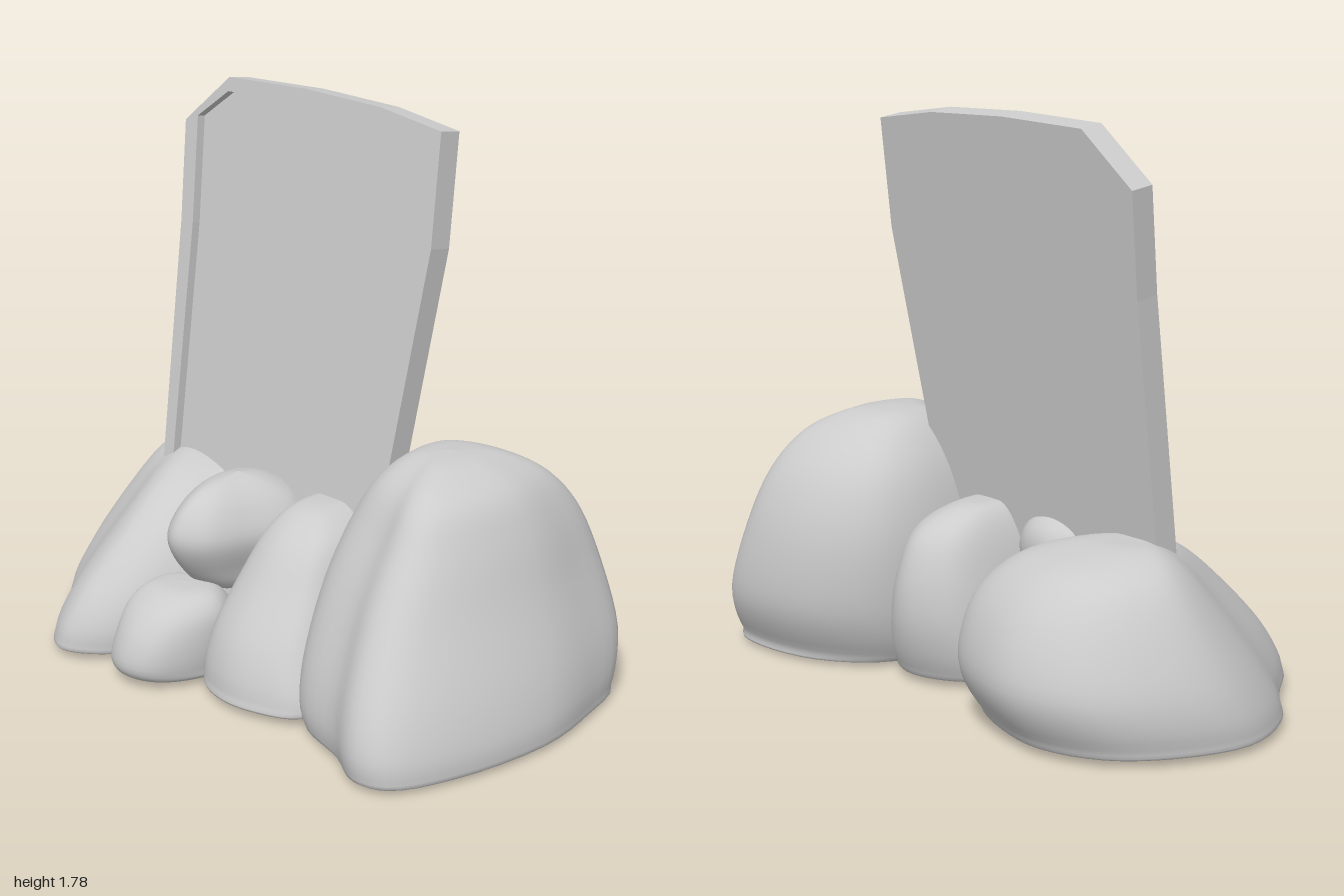
import * as THREE from 'three';

const material = new THREE.MeshStandardMaterial({ color: 0xcccccc, roughness: 0.9 });

// Smooth boulder: a footprint [x, z] (front, right, back, left) is fitted into
// the bounds of each level [y, xMin, xMax, zMin, zMax], from underside to crown.
function rock(name, footprint, levels, around = 56, steps = 5) {
  const loop = new THREE.CatmullRomCurve3(
    footprint.map(([x, z]) => new THREE.Vector3(x, 0, z)), true, 'centripetal');
  const ring = [];
  for (let i = 0; i < around; i++) ring.push(loop.getPoint(i / around));
  const box = new THREE.Box3().setFromPoints(ring);
  const size = box.getSize(new THREE.Vector3());

  const spline = (f) => new THREE.CatmullRomCurve3(levels.map(f), false, 'catmullrom', 0.5);
  const low = spline(([y, l, , b]) => new THREE.Vector3(l, y, b));
  const high = spline(([y, , r, , f]) => new THREE.Vector3(r, y, f));

  const rows = (levels.length - 1) * steps;
  const positions = [], index = [];
  for (let j = 0; j <= rows; j++) {
    const a = low.getPoint(j / rows), b = high.getPoint(j / rows);
    for (const p of ring) {
      positions.push(
        THREE.MathUtils.lerp(a.x, b.x, (p.x - box.min.x) / size.x),
        Math.max(a.y, levels[0][0]),
        THREE.MathUtils.lerp(a.z, b.z, (p.z - box.min.z) / size.z));
    }
  }
  for (let j = 0; j < rows; j++) {
    for (let i = 0; i < around; i++) {
      const p = j * around + i, q = j * around + (i + 1) % around;
      index.push(p, q, p + around, q, q + around, p + around);
    }
  }
  const geometry = new THREE.BufferGeometry();
  geometry.setAttribute('position', new THREE.Float32BufferAttribute(positions, 3));
  geometry.setIndex(index);
  geometry.computeVertexNormals();
  const mesh = new THREE.Mesh(geometry, material);
  mesh.name = name;
  return mesh;
}

// Leaning slab with a raised rim along its sides and top
function board() {
  const pivotY = 0.53, lean = 0.136;
  const toLocal = ([x, y]) => new THREE.Vector2(x, (y - pivotY) / Math.cos(lean));
  const outer = [[-0.635, 0.4], [-0.64, 0.53], [-0.655, 1.3], [-0.675, 1.62], [-0.49, 1.78],
    [-0.15, 1.79], [0.17, 1.78], [0.42, 1.745], [0.43, 1.4], [0.36, 0.75], [0.325, 0.4]].map(toLocal);
  const inner = [[-0.595, 0.4], [-0.595, 0.53], [-0.6, 1.3], [-0.62, 1.64], [-0.49, 1.735],
    [-0.15, 1.75], [0.17, 1.74], [0.39, 1.715], [0.395, 1.4], [0.325, 0.75], [0.29, 0.4]].map(toLocal);

  const group = new THREE.Group();
  group.name = 'board';
  const add = (name, points, z, depth) => {
    const geometry = new THREE.ExtrudeGeometry(new THREE.Shape(points), { depth, bevelEnabled: false });
    const mesh = new THREE.Mesh(geometry, material);
    mesh.name = name;
    mesh.position.z = z;
    group.add(mesh);
  };
  add('panel', outer, -0.08, 0.05);
  add('rim', [...outer, ...inner.reverse()], -0.03, 0.03);
  group.position.set(0, pivotY, 0.017);
  group.rotation.x = -lean;
  return group;
}

export function createModel() {
  const model = new THREE.Group();
  model.name = 'boardInRocks';
  model.add(board());

  model.add(rock('rightRock',
    [[-0.5, 0.57], [-0.38, 0.5], [-0.28, 0.33], [-0.15, 0], [-0.13, -0.3], [-0.22, -0.46], [-0.4, -0.55],
      [-0.6, -0.58], [-0.8, -0.5], [-0.93, -0.33], [-1, -0.08], [-0.92, 0.15], [-0.75, 0.33], [-0.6, 0.52]],
    [[0.02, -0.56, -0.56, -0.05, -0.05], [0.02, -0.95, -0.2, -0.45, 0.5], [0.06, -1, -0.14, -0.52, 0.57],
      [0.2, -0.97, -0.12, -0.58, 0.5], [0.38, -0.88, -0.16, -0.52, 0.32], [0.5, -0.79, -0.27, -0.4, 0.15],
      [0.555, -0.68, -0.42, -0.22, 0], [0.56, -0.55, -0.55, -0.1, -0.1]]));

  model.add(rock('leftRock',
    [[0.75, 0.55], [0.86, 0.52], [0.95, 0.33], [1, -0.05], [0.95, -0.32], [0.87, -0.53], [0.7, -0.57],
      [0.45, -0.52], [0.28, -0.38], [0.22, -0.18], [0.24, 0.1], [0.3, 0.3], [0.4, 0.4], [0.6, 0.47]],
    [[0.005, 0.62, 0.62, -0.03, -0.03], [0.01, 0.32, 0.95, -0.46, 0.48], [0.05, 0.25, 1, -0.51, 0.56],
      [0.2, 0.22, 0.97, -0.57, 0.53], [0.42, 0.22, 0.885, -0.55, 0.4], [0.6, 0.26, 0.82, -0.48, 0.27],
      [0.72, 0.33, 0.75, -0.37, 0.17], [0.785, 0.41, 0.63, -0.24, 0.03], [0.8, 0.52, 0.52, -0.1, -0.1]]));

  model.add(rock('middleRock',
    [[0.1, 0.46], [0.25, 0.45], [0.38, 0.38], [0.42, 0.1], [0.36, -0.25], [0.22, -0.39], [0.1, -0.4],
      [-0.05, -0.3], [-0.1, 0], [-0.05, 0.38]],
    [[0.02, 0.15, 0.15, 0.02, 0.02], [0.02, -0.06, 0.38, -0.3, 0.42], [0.06, -0.1, 0.42, -0.36, 0.46],
      [0.2, -0.09, 0.37, -0.4, 0.42], [0.35, -0.06, 0.32, -0.39, 0.32], [0.48, -0.02, 0.27, -0.33, 0.22],
      [0.55, 0.03, 0.18, -0.2, 0.1], [0.56, 0.1, 0.1, -0.05, -0.05]]));

  model.add(rock('smallFrontRock',
    [[-0.22, 0.58], [-0.12, 0.55], [-0.05, 0.43], [-0.04, 0.3], [-0.12, 0.18], [-0.25, 0.17],
      [-0.34, 0.28], [-0.35, 0.42], [-0.32, 0.53]],
    [[0.015, -0.2, -0.2, 0.35, 0.35], [0.02, -0.33, -0.06, 0.2, 0.52], [0.06, -0.35, -0.04, 0.17, 0.58],
      [0.15, -0.345, -0.03, 0.16, 0.56], [0.23, -0.34, -0.04, 0.2, 0.5], [0.28, -0.3, -0.09, 0.25, 0.42],
      [0.29, -0.2, -0.2, 0.33, 0.33]]));

  model.add(rock('upperRock',
    [[-0.2, 0.38], [-0.1, 0.33], [-0.04, 0.18], [0, 0], [-0.08, -0.1], [-0.22, -0.12],
      [-0.34, -0.05], [-0.375, 0.12], [-0.31, 0.28]],
    [[0.23, -0.19, -0.19, 0.1, 0.1], [0.25, -0.31, -0.07, 0, 0.24], [0.33, -0.35, -0.03, -0.08, 0.33],
      [0.43, -0.375, 0, -0.12, 0.38], [0.52, -0.33, -0.04, -0.1, 0.34], [0.58, -0.26, -0.11, 0, 0.25],
      [0.605, -0.18, -0.18, 0.11, 0.11]]));

  return model;
}
